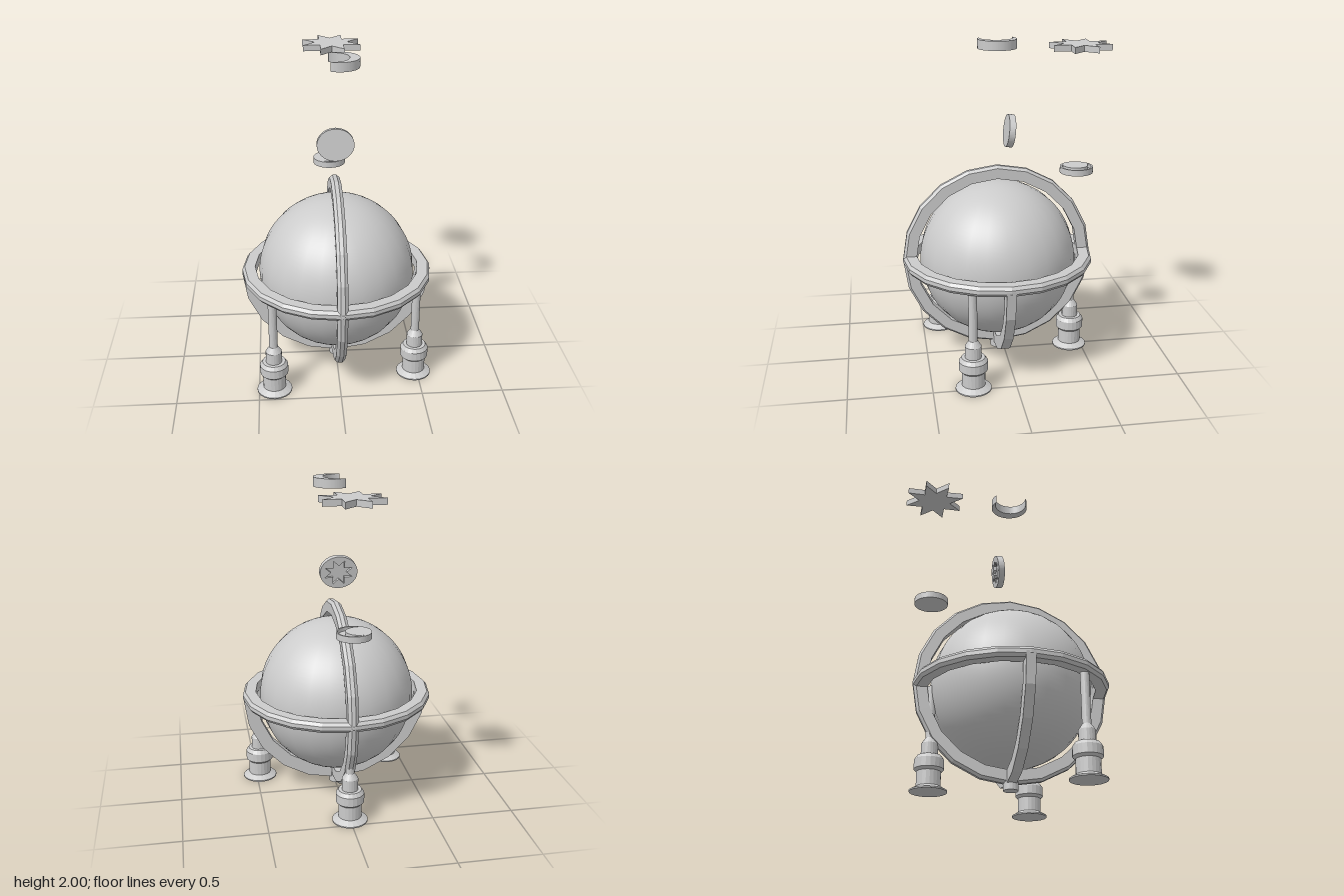
import * as THREE from 'three';

const CY = 0.65, CZ = 0.045; // centre of the globe

export function createModel() {
  const model = new THREE.Group();
  const flat = new THREE.MeshStandardMaterial({ color: 0xcccccc, flatShading: true });
  const smooth = new THREE.MeshStandardMaterial({ color: 0xcccccc });

  const add = (name, geometry, x, y, z, material = flat, parent = model) => {
    const mesh = new THREE.Mesh(geometry, material);
    mesh.name = name;
    mesh.position.set(x, y, z);
    parent.add(mesh);
    return mesh;
  };
  const points = list => list.map(([x, y]) => new THREE.Vector2(x, y));
  const extrude = (shape, depth) =>
    new THREE.ExtrudeGeometry(shape, { depth, bevelEnabled: false, curveSegments: 32 });
  const flatten = (shape, depth) => extrude(shape, depth).rotateX(-Math.PI / 2);

  // Globe
  add('globe', new THREE.SphereGeometry(0.48, 24, 48), 0, CY, CZ, smooth);

  // Horizon and meridian rings with a chamfered outer edge
  const ringProfile = points([
    [0.507, -0.031], [0.572, -0.031], [0.587, -0.012], [0.587, 0.012],
    [0.572, 0.031], [0.507, 0.031], [0.507, -0.031],
  ]);
  add('horizonRing', new THREE.LatheGeometry(ringProfile, 20), 0, CY, CZ);
  add('meridianRing', new THREE.LatheGeometry(ringProfile, 20).rotateZ(Math.PI / 2), 0, CY, CZ);

  // Lower half ring crossing under the globe
  const cradleProfile = points([
    [0.505, -0.028], [0.587, -0.028], [0.587, 0.028], [0.505, 0.028], [0.505, -0.028],
  ]);
  add('cradleRing',
    new THREE.LatheGeometry(cradleProfile, 10, -Math.PI / 2, Math.PI).rotateX(Math.PI / 2),
    0, CY, CZ);
  add('bottomBoss', new THREE.CylinderGeometry(0.045, 0.045, 0.07, 16), 0, 0.065, CZ);

  // Three turned legs
  const legProfile = points([
    [0, 0], [0.108, 0], [0.108, 0.008], [0.07, 0.03], [0.07, 0.115], [0.086, 0.13],
    [0.086, 0.185], [0.07, 0.208], [0.049, 0.208], [0.049, 0.28], [0.026, 0.315],
    [0.026, 0.63], [0, 0.63],
  ]);
  const legGeometry = new THREE.LatheGeometry(legProfile, 20);
  [['rightLeg', -0.405, 0.39], ['leftLeg', 0.478, 0.257], ['backLeg', 0, -0.428]]
    .forEach(([name, x, z]) => add(name, legGeometry, x, 0, z));

  // Outlines shared by the loose pieces and their sockets
  const starPoints = (outer, inner) => Array.from({ length: 16 }, (_, i) => {
    const a = (i + 1) * Math.PI / 8;
    const r = i % 2 ? inner : outer;
    return new THREE.Vector2(r * Math.cos(a), r * Math.sin(a));
  });
  const crescent = (path, s, shift = 0) => {
    path.absarc(0.02 * s + shift, 0, 0.115 * s, -2.12, 2.12, false);
    path.absarc(-0.022 * s + shift, 0, 0.099 * s, 1.752, -1.752, true);
    return path;
  };
  const disc = (r, hole) => {
    const shape = new THREE.Shape().absarc(0, 0, r, 0, Math.PI * 2, false);
    if (hole) shape.holes.push(hole);
    return shape;
  };

  // Loose star and crescent
  add('star', flatten(new THREE.Shape(starPoints(0.19, 0.1)), 0.037), 0, 1.924, -0.455);
  add('crescent', flatten(crescent(new THREE.Shape(), 1), 0.055), 0, 1.945, CZ);

  // Flat disc with a crescent recess on top
  const crescentDisc = new THREE.Group();
  crescentDisc.name = 'crescentDisc';
  crescentDisc.position.set(-0.013, 1.167, -0.452);
  add('crescentDiscBase', flatten(disc(0.102), 0.016), 0, 0, 0, flat, crescentDisc);
  add('crescentDiscRim',
    flatten(disc(0.102, crescent(new THREE.Path(), 0.78, -0.012)), 0.022),
    0, 0.016, 0, flat, crescentDisc);
  model.add(crescentDisc);

  // Tilted oval disc with a star recess on its back
  const starDisc = new THREE.Group();
  starDisc.name = 'starDisc';
  starDisc.position.set(0, 1.447, -0.031);
  starDisc.rotation.x = -0.125;
  starDisc.scale.y = 0.87;
  add('starDiscFace', extrude(disc(0.113), 0.018), 0, 0, 0, flat, starDisc);
  add('starDiscRim', extrude(disc(0.113, new THREE.Path(starPoints(0.09, 0.047))), 0.02),
    0, 0, -0.02, flat, starDisc);
  model.add(starDisc);

  return model;
}
